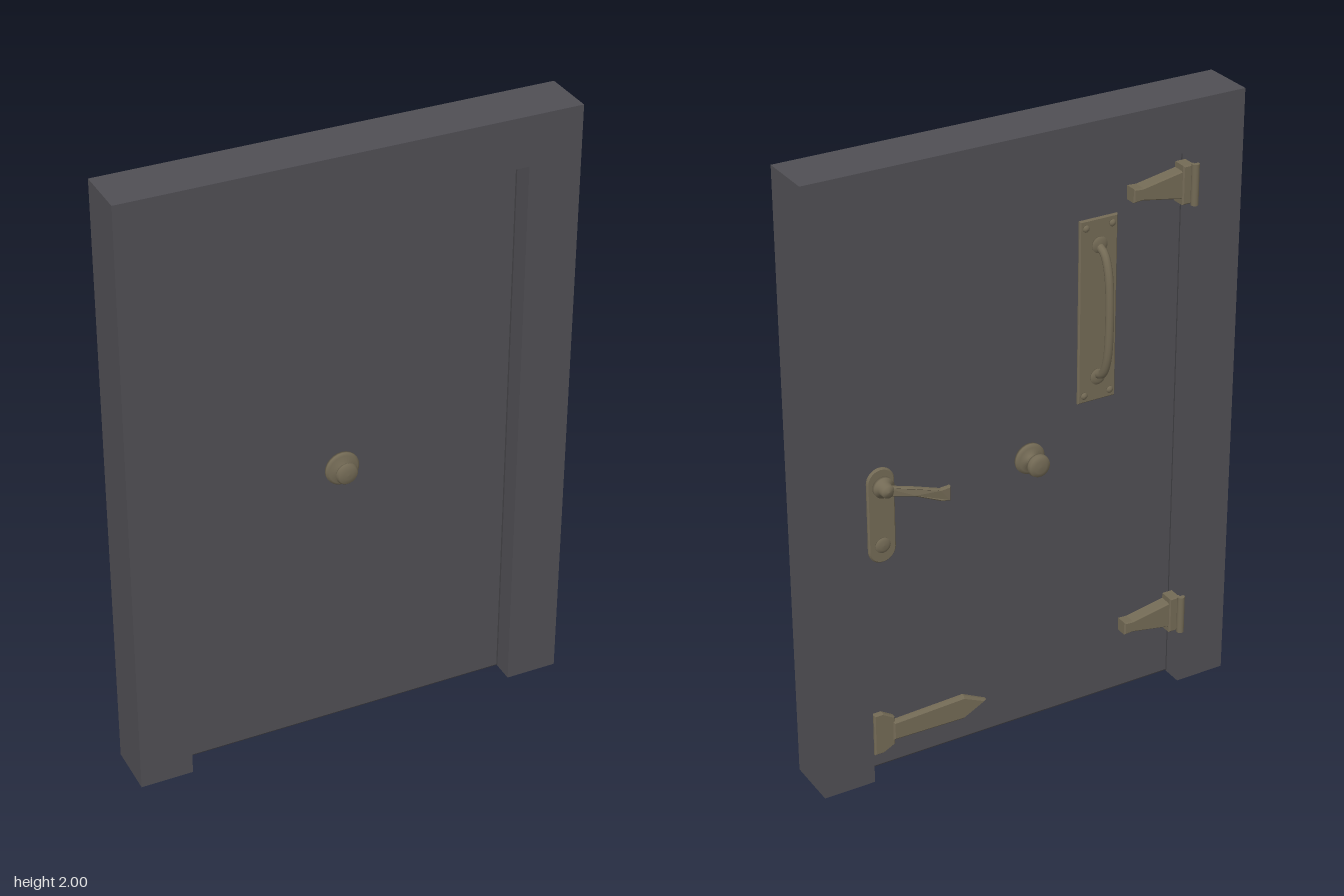
import * as THREE from 'three';

const FRONT = 0.05, BACK = -0.02; // faces of the door leaf

export function createModel() {
  const model = new THREE.Group();
  const wood = new THREE.MeshStandardMaterial({ color: 0x504f54 });
  wood.name = 'darkWood';
  const brass = new THREE.MeshStandardMaterial({ color: 0x736a55 });
  brass.name = 'agedBrass';

  const add = (name, geometry, material, parent = model) => {
    const mesh = new THREE.Mesh(geometry, material);
    mesh.name = name;
    parent.add(mesh);
    return mesh;
  };
  const group = (name) => {
    const g = new THREE.Group();
    g.name = name;
    model.add(g);
    return g;
  };
  const polygon = (points) => new THREE.Shape(points.map(([x, y]) => new THREE.Vector2(x, y)));
  const rect = (x0, y0, x1, y1) => [[x0, y0], [x1, y0], [x1, y1], [x0, y1]];
  // Extrusion from z0 to z0 + depth with an inward bevel on both faces
  const slab = (shape, z0, depth, bevel = 0, width = bevel) => {
    const g = new THREE.ExtrudeGeometry(shape, {
      depth: depth - 2 * bevel, curveSegments: 12, bevelEnabled: bevel > 0,
      bevelThickness: bevel, bevelSize: width, bevelOffset: -width, bevelSegments: 1,
    });
    return g.translate(0, 0, z0 + bevel);
  };
  // Fitting fixed to the back of the door
  const backPlate = (shape, depth, bevel = 0.004) => slab(shape, BACK - depth, depth, bevel);
  // Round part turned about z, profile given as [radius, distance]
  const turned = (profile, dir = 1) => new THREE.LatheGeometry(
    profile.map(([r, h]) => new THREE.Vector2(r, h)), 24).rotateX(dir * Math.PI / 2);

  // Frame: two jambs and a head
  add('frame', slab(polygon([
    [-0.72, 0], [-0.55, 0], [-0.55, 1.84], [0.55, 1.84],
    [0.55, 0], [0.72, 0], [0.72, 2], [-0.72, 2],
  ]), -0.07, 0.175), wood);

  // Door leaf: thin core between two faces with sunken long panels
  const door = group('door');
  const core = add('doorCore', new THREE.BoxGeometry(1.09, 1.82, 0.04), wood, door);
  core.position.set(0, 0.922, (FRONT + BACK) / 2);
  const face = () => {
    const shape = polygon(rect(-0.545, 0.012, 0.545, 1.832));
    for (const x of [-0.25, 0.25]) {
      shape.holes.push(new THREE.Path(
        rect(x - 0.1, 0.225, x + 0.1, 1.825).reverse().map(([a, b]) => new THREE.Vector2(a, b))));
    }
    return shape;
  };
  add('frontFace', slab(face(), FRONT - 0.02, 0.02, 0.006, 0.008), wood, door);
  add('backFace', slab(face(), BACK, 0.02, 0.006, 0.008), wood, door);
  // Raised field inside each panel leaves a narrow groove around it
  for (const x of [-0.25, 0.25]) {
    const field = () => polygon(rect(x - 0.09, 0.232, x + 0.09, 1.825));
    add('frontPanel', slab(field(), FRONT - 0.02, 0.013, 0.005), wood, door);
    add('backPanel', slab(field(), BACK + 0.007, 0.013, 0.005), wood, door);
  }

  // Front knob
  const frontKnob = add('frontKnob', turned([
    [0, 0], [0.055, 0], [0.055, 0.008], [0.047, 0.014], [0.022, 0.017], [0.02, 0.026],
    [0.032, 0.032], [0.036, 0.04], [0.03, 0.047], [0.014, 0.05], [0, 0.051],
  ]), brass);
  frontKnob.position.set(-0.018, 0.94, FRONT);

  // Back knob
  const backKnob = add('backKnob', turned([
    [0, 0], [0.05, 0], [0.05, 0.008], [0.04, 0.014], [0.018, 0.018], [0.018, 0.04],
    [0.034, 0.046], [0.037, 0.056], [0.034, 0.066], [0.02, 0.071], [0, 0.072],
  ], -1), brass);
  backKnob.position.set(-0.022, 0.945, BACK);

  const stud = (parent, x, y, z, r) => {
    add('stud', turned([[0, 0], [r, 0], [r, 0.003], [r * 0.6, 0.007], [0, 0.008]], -1), brass, parent)
      .position.set(x, y, z);
  };

  // Pull handle on a tall plate
  const pull = group('pullHandle');
  add('pullPlate', backPlate(polygon(rect(-0.315, 1.085, -0.185, 1.68)), 0.012), brass, pull);
  for (const x of [-0.295, -0.205]) for (const y of [1.11, 1.655]) stud(pull, x, y, BACK - 0.012, 0.011);
  const arc = [[1.17, -0.028], [1.185, -0.06], [1.24, -0.084], [1.38, -0.094],
    [1.52, -0.084], [1.575, -0.06], [1.59, -0.028]];
  add('grip', new THREE.TubeGeometry(new THREE.CatmullRomCurve3(
    arc.map(([y, z]) => new THREE.Vector3(-0.252, y, z))), 32, 0.013, 10), brass, pull);
  for (const y of [1.165, 1.595]) stud(pull, -0.252, y, BACK - 0.012, 0.026);

  // Lever handle on a round-ended plate
  const lever = group('leverHandle');
  const oval = new THREE.Shape();
  oval.absarc(0.482, 1.01, 0.045, 0, Math.PI);
  oval.absarc(0.482, 0.785, 0.045, Math.PI, Math.PI * 2);
  oval.closePath();
  add('leverPlate', backPlate(oval, 0.013), brass, lever);
  add('leverBoss', turned([[0, 0], [0.033, 0], [0.033, 0.014], [0.022, 0.02], [0.02, 0.042], [0, 0.046]], -1),
    brass, lever).position.set(0.478, 0.995, BACK - 0.01);
  stud(lever, 0.482, 0.8, BACK - 0.013, 0.025);
  // Lever arm widens towards its free end and curves outward
  const arm = slab(polygon([
    [0.288, 0.925], [0.32, 0.932], [0.4, 0.965], [0.485, 0.978],
    [0.485, 1.012], [0.4, 0.995], [0.32, 0.972], [0.288, 0.975],
  ]), -0.007, 0.016, 0.004);
  const p = arm.attributes.position;
  for (let i = 0; i < p.count; i++) {
    const t = (0.485 - p.getX(i)) / 0.197;
    p.setZ(i, p.getZ(i) - 0.06 - 0.033 * Math.sin(t * Math.PI / 2));
  }
  arm.computeVertexNormals();
  add('leverArm', arm, brass, lever);

  // Hinges: upright knuckle on the jamb with a tapering strap
  for (const y of [1.735, 0.255]) {
    const hinge = group('hinge');
    const knuckle = add('knuckle', new THREE.CylinderGeometry(0.012, 0.012, 0.13, 12), brass, hinge);
    knuckle.position.set(-0.552, y, -0.074);
    add('hingeLeaf', slab(polygon(rect(-0.55, y - 0.062, -0.515, y + 0.062)), -0.068, 0.05, 0.004), brass, hinge);
    const strap = slab(polygon([
      [-0.52, y - 0.045], [-0.38, y - 0.02], [-0.35, y - 0.022],
      [-0.35, y + 0.022], [-0.38, y + 0.02], [-0.52, y + 0.045],
    ]), -0.062, 0.044, 0.004);
    add('strap', strap, brass, hinge);
  }

  // Pointed strap at the foot of the opening side
  const foot = group('footStrap');
  add('footPlate', backPlate(polygon([
    [0.46, 0.09], [0.5, 0.07], [0.53, 0.07], [0.53, 0.215], [0.5, 0.215], [0.46, 0.19],
  ]), 0.02), brass, foot);
  add('blade', backPlate(polygon([
    [0.14, 0.145], [0.22, 0.1], [0.47, 0.105], [0.47, 0.175], [0.22, 0.185],
  ]), 0.025, 0.008), brass, foot);

  return model;
}
